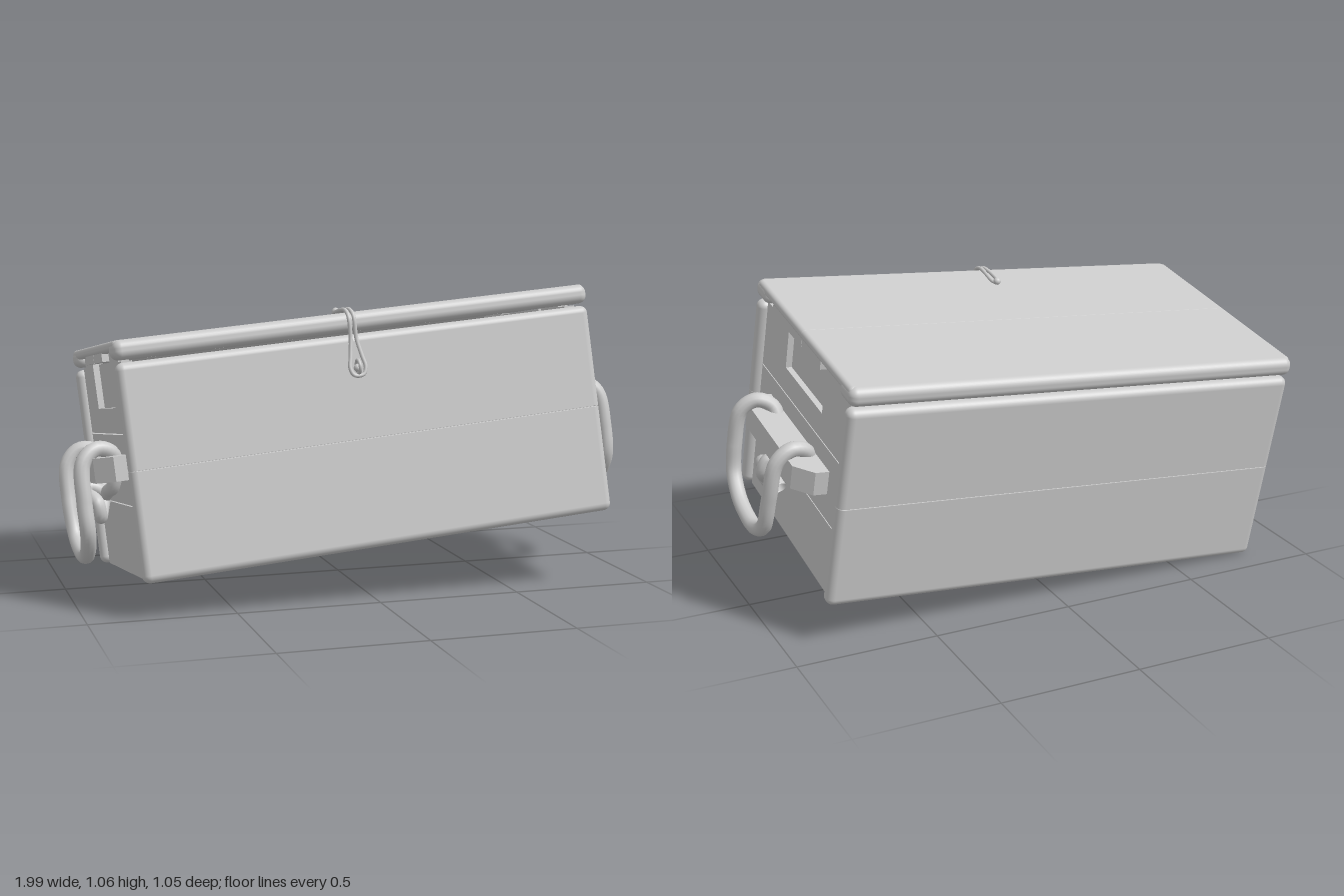
import * as THREE from 'three';
import { RoundedBoxGeometry } from 'three/addons/geometries/RoundedBoxGeometry.js';

const material = new THREE.MeshStandardMaterial({ color: 0xcccccc, side: THREE.DoubleSide });

export function createModel() {
  const model = new THREE.Group();
  model.name = 'chest';
  const crate = new THREE.Group();
  crate.name = 'tiltedChest';
  crate.position.set(-0.014, 0.535, 0);
  crate.rotation.set(-0.14, 0, 0.09);
  model.add(crate);

  function add(name, geometry, x = 0, y = 0, z = 0) {
    const mesh = new THREE.Mesh(geometry, material);
    mesh.name = name;
    mesh.position.set(x, y, z);
    crate.add(mesh);
    return mesh;
  }

  // Rounded slab cut flat at one plane, so two boards meet in a crisp seam
  function cutBoard(w, h, d, r, axis, side, at) {
    const geometry = new RoundedBoxGeometry(w, h, d, 4, r);
    const p = geometry.attributes.position;
    const i = 'xyz'.indexOf(axis);
    for (let k = 0; k < p.count; k++) {
      const v = p.getComponent(k, i);
      p.setComponent(k, i, side > 0 ? Math.max(v, at + 0.0015) : Math.min(v, at - 0.0015));
    }
    return geometry;
  }

  function rope(name, points, radius, segments, closed = false) {
    const curve = new THREE.CatmullRomCurve3(points.map((p) => new THREE.Vector3(...p)), closed);
    add(name, new THREE.TubeGeometry(curve, segments, radius, 12, closed));
    return curve;
  }

  // Extrude a (z, y) outline along x, between x0 and x1
  function extrudeX(name, outline, x0, x1) {
    const shape = new THREE.Shape(outline.map(([z, y]) => new THREE.Vector2(-z, y)));
    const geometry = new THREE.ExtrudeGeometry(shape, { depth: x1 - x0, bevelEnabled: false });
    geometry.rotateY(Math.PI / 2);
    add(name, geometry, x0, 0, 0);
  }

  // Front and back walls, each of two boards; lid in two halves with thick lips
  for (const s of [1, -1]) {
    const wall = s > 0 ? 'front' : 'back';
    add(wall + 'UpperBoard', cutBoard(1.68, 0.725, 0.06, 0.026, 'y', 1, 0.0075), 0, -0.0375, s * 0.437);
    add(wall + 'LowerBoard', cutBoard(1.68, 0.725, 0.06, 0.026, 'y', -1, 0.0075), 0, -0.0375, s * 0.437);
    add(wall + 'LidBoard', cutBoard(1.68, 0.036, 0.9, 0.016, 'z', s, 0), 0, 0.382, 0);
    add(wall + 'LidLip', new RoundedBoxGeometry(1.684, 0.066, 0.112, 4, 0.028), 0, 0.367, s * 0.414);
    add(wall + 'LidBatten', new THREE.BoxGeometry(1.67, 0.05, 0.177), 0, 0.363, s * 0.09);
  }
  add('floor', new THREE.BoxGeometry(1.58, 0.03, 0.82), 0, -0.375, 0);

  for (const s of [1, -1]) {
    const side = s > 0 ? 'left' : 'right';
    const span = (a, b) => (s > 0 ? [a, b] : [-b, -a]);
    const board = (y0, y1) => [[-0.408, y0], [0.408, y0], [0.408, y1], [-0.408, y1]];

    // End wall of three boards, the top one notched under the lid batten
    extrudeX(side + 'EndLowerBoard', board(-0.4, -0.158), ...span(0.775, 0.812));
    extrudeX(side + 'EndMiddleBoard', board(-0.154, 0.086), ...span(0.775, 0.812));
    extrudeX(side + 'EndTopBoard', [
      [-0.408, 0.09], [0.408, 0.09], [0.408, 0.33], [0.355, 0.33], [0.355, 0.364],
      [0.185, 0.364], [0.18, 0.178], [-0.18, 0.178], [-0.185, 0.364],
      [-0.355, 0.364], [-0.355, 0.33], [-0.408, 0.33],
    ], ...span(0.775, 0.812));
    extrudeX(side + 'EndRecess', [[-0.2, 0.15], [0.2, 0.15], [0.2, 0.335], [-0.2, 0.335]], ...span(0.765, 0.79));

    // Cleat with tapered ends
    const cleat = new THREE.Shape([
      [0.81, 0.295], [0.86, 0.295], [0.92, 0.235], [0.92, -0.235], [0.86, -0.295], [0.81, -0.295],
    ].map(([x, z]) => new THREE.Vector2(s * x, z)));
    const cleatGeometry = new THREE.ExtrudeGeometry(cleat, { depth: 0.084, bevelEnabled: false });
    cleatGeometry.rotateX(Math.PI / 2);
    add(side + 'Cleat', cleatGeometry, 0, 0.02, 0);

    // Rope grip: over the cleat, down into a loop and back up
    const at = (points) => points.map(([x, y, z]) => [s * x, y, z]);
    rope(side + 'RopeHandle', at([
      [0.83, -0.04, 0.14], [0.845, 0.03, 0.18], [0.9, 0.05, 0.2], [0.95, 0.01, 0.212], [0.963, -0.12, 0.213],
      [0.962, -0.225, 0.198], [0.96, -0.29, 0.13], [0.957, -0.318, 0.04], [0.957, -0.315, -0.045],
      [0.96, -0.26, -0.134], [0.963, -0.133, -0.166], [0.95, 0, -0.17], [0.9, 0.045, -0.168],
      [0.845, 0.03, -0.16], [0.83, -0.04, -0.14],
    ]), 0.027, 90);

    // Rope ends meeting in a knot below the cleat
    rope(side + 'RopeKnot', at([
      [0.83, -0.04, 0.14], [0.845, -0.09, 0.11], [0.85, -0.105, 0.04], [0.86, -0.13, -0.01],
      [0.885, -0.185, 0.03], [0.895, -0.185, 0.08], [0.9, -0.14, 0.09], [0.915, -0.115, 0.04],
      [0.9, -0.135, -0.02], [0.89, -0.155, -0.07],
    ]), 0.024, 70);
    rope(side + 'RopeKnotStrand', at([
      [0.83, -0.04, -0.14], [0.845, -0.1, -0.11], [0.855, -0.125, -0.05], [0.87, -0.105, 0],
      [0.91, -0.085, 0.01], [0.925, -0.13, 0.015], [0.9, -0.175, 0.05],
    ]), 0.024, 50);
  }

  // Cord clasp: narrow loop from the lid, widening to a teardrop on the front
  const cx = -0.035;
  const half = [[0.405, 0.32, 0.008], [0.408, 0.45, 0.008], [0.385, 0.482, 0.009],
    [0.31, 0.48, 0.01], [0.25, 0.485, 0.02], [0.21, 0.49, 0.027], [0.187, 0.492, 0.016]];
  const strand = (s) => half.map(([y, z, x]) => [cx + s * x, y, z]);
  rope('claspCord', [...strand(1), ...strand(-1).reverse()], 0.007, 100, true);
  add('claspTopBead', new THREE.SphereGeometry(0.014, 12, 8), cx, 0.41, 0.315);
  add('claspPeg', new THREE.SphereGeometry(0.014, 12, 8), cx, 0.21, 0.485);
  const ring = add('claspRing', new THREE.TorusGeometry(0.022, 0.006, 8, 20), cx, 0.215, 0.495);
  ring.rotation.y = Math.PI / 2;

  return model;
}
